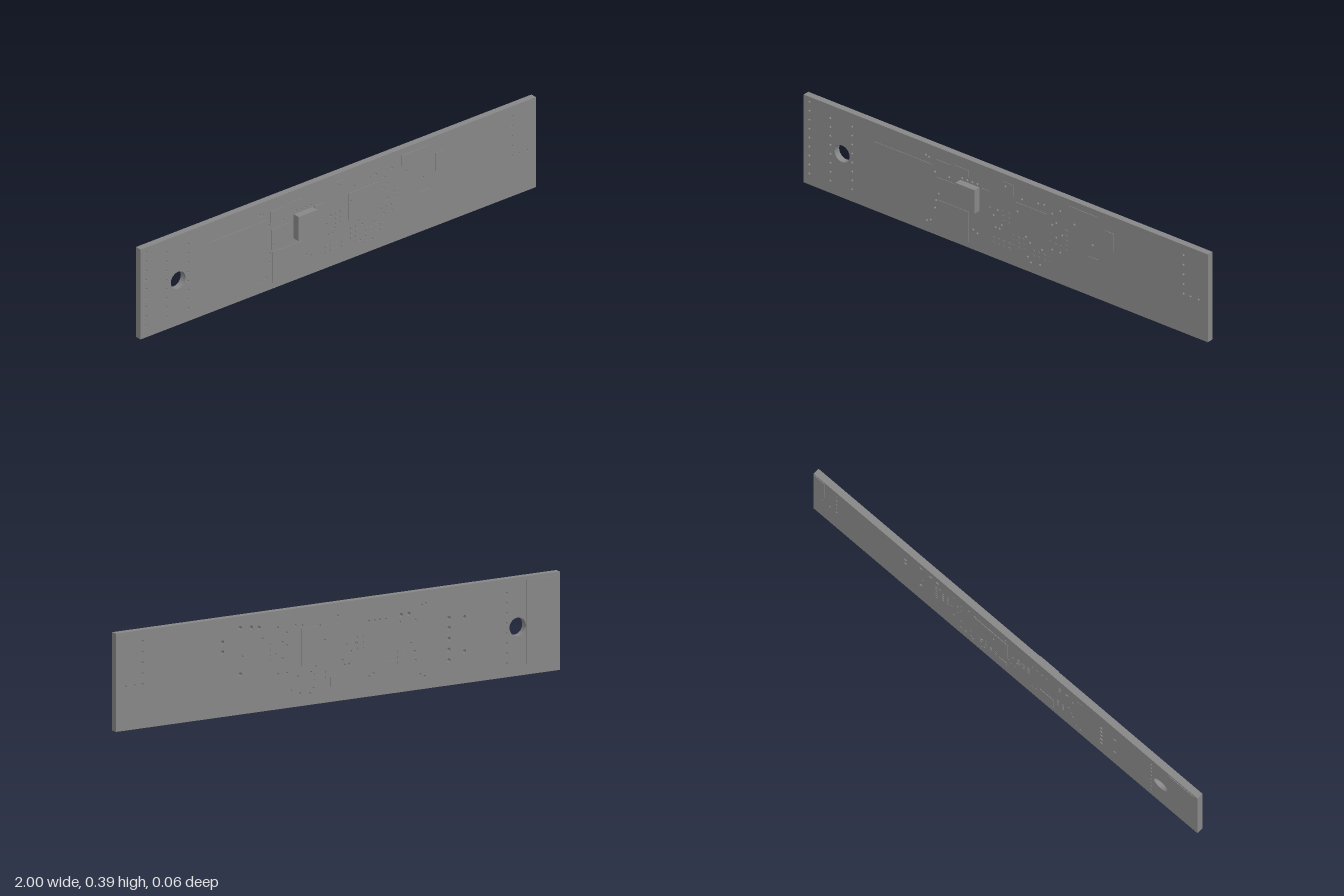
import * as THREE from 'three';

const H = 0.392, T = 0.028, LAYER = 0.002;
const material = new THREE.MeshStandardMaterial({ color: 0x878787, flatShading: true });

// Drilled vias, as x, y pairs
const vias = [
  [-0.395, 0.34], [-0.38, 0.335], [-0.35, 0.28], [-0.28, 0.28], [-0.33, 0.19], [-0.345, 0.155],
  [-0.35, 0.12], [-0.37, 0.06], [-0.39, 0.05], [-0.16, 0.09], [-0.14, 0.08], [-0.08, 0.22],
  [-0.06, 0.19], [-0.04, 0.22], [-0.05, 0.14], [-0.03, 0.14], [-0.02, 0.16], [0, 0.34],
  [0.06, 0.25], [0.08, 0.31], [0.1, 0.15], [0.12, 0.13], [0.11, 0.065], [0.125, 0.045],
  [0.17, 0.05], [0.18, 0.12], [0.16, 0.32], [0.19, 0.325], [0.23, 0.3], [0.23, 0.25],
  [0.25, 0.265], [0.25, 0.2], [0.27, 0.325], [0.28, 0.22], [0.34, 0.29], [0.43, 0.23],
  [0.23, 0.14], [0.27, 0.14],
];
for (let i = 0; i < 4; i++) vias.push([-0.215 + i * 0.025, 0.3]);
// Connector hole columns at both ends
for (let i = 0; i < 9; i++) vias.push([-0.972, 0.05 + i * 0.04]);
for (let i = 0; i < 8; i++) vias.push([-0.868, 0.055 + i * 0.04], [-0.76, 0.055 + i * 0.04]);
for (let i = 0; i < 5; i++) vias.push([0.88, 0.175 + i * 0.043]);
vias.push([0.915, 0.175], [0.955, 0.175]);

// Wider holes open at the back and covered by copper at the front
const blindHoles = [
  [0.52, 0.297], [0.52, 0.257], [0.44, 0.345], [0.39, 0.34], [0.355, 0.335], [0.44, 0.16],
  [-0.5, 0.268], [-0.5, 0.228], [-0.5, 0.185], [-0.5, 0.142], [-0.5, 0.1],
  [-0.57, 0.263], [-0.57, 0.127], [-0.285, 0.307], [-0.32, 0.307],
];

function circlePath(x, y, r) {
  return new THREE.Path().absarc(x, y, r, 0, Math.PI * 2, true);
}

// Rectangular sheet, pierced by every via lying wholly inside it
function sheet(name, [x0, y0, x1, y1], z, depth, { holes = [], drilled = true } = {}) {
  const shape = new THREE.Shape([[x0, y0], [x1, y0], [x1, y1], [x0, y1]].map((p) => new THREE.Vector2(...p)));
  const r = 0.0045;
  if (drilled) {
    for (const [x, y] of vias) {
      if (x - r > x0 && x + r < x1 && y - r > y0 && y + r < y1) shape.holes.push(circlePath(x, y, r));
    }
  }
  shape.holes.push(...holes);
  const geometry = new THREE.ExtrudeGeometry(shape, { depth, bevelEnabled: false, curveSegments: 12 });
  const mesh = new THREE.Mesh(geometry, material);
  mesh.position.z = z;
  mesh.name = name;
  return mesh;
}

function box(name, w, h, d, x, y, z) {
  const mesh = new THREE.Mesh(new THREE.BoxGeometry(w, h, d), material);
  mesh.position.set(x, y, z);
  mesh.name = name;
  return mesh;
}

export function createModel() {
  const model = new THREE.Group();
  model.name = 'circuitBoard';

  // Board with its mounting hole
  const holes = blindHoles.map(([x, y]) => circlePath(x, y, 0.008));
  holes.push(circlePath(-0.81, 0.195, 0.037));
  model.add(sheet('board', [-1, 0, 1, H], -T, T, { holes }));

  // Copper areas on the front
  const front = new THREE.Group();
  front.name = 'frontCopper';
  [
    [-0.65, 0.054, -0.362, 0.308], [-0.34, 0.17, -0.24, 0.26], [-0.335, 0.025, -0.182, 0.16],
    [-0.345, 0.29, -0.27, 0.338], [-0.25, 0.315, -0.185, 0.345], [-0.12, 0.22, -0.077, 0.29],
    [-0.01, 0.308, 0.038, 0.358], [0.05, 0.17, 0.205, 0.288], [0.317, 0.32, 0.46, 0.364],
    [0.49, 0.24, 0.535, 0.318], [0.41, 0.13, 0.46, 0.175],
  ].forEach((area) => front.add(sheet('copperArea', area, 0, LAYER)));
  model.add(front);

  // Copper areas on the back
  const back = new THREE.Group();
  back.name = 'backCopper';
  [
    [0.942, 0.225, 0.997, 0.383], [-0.25, 0.04, -0.18, 0.13], [-0.01, 0.16, 0.165, 0.31],
    [-0.005, 0.06, 0.033, 0.1],
  ].forEach((area) => back.add(sheet('copperArea', area, -T - LAYER, LAYER)));
  back.add(sheet('connectorBacking', [-0.98, 0.042, -0.85, 0.378], -T - LAYER, LAYER, { drilled: false }));
  model.add(back);

  // Grids of small component pads: x, y, columns, rows, side
  [
    [-0.06, 0.07, 4, 2, 1], [0.04, 0.09, 3, 3, 1], [0.14, 0.08, 4, 2, 1], [0.22, 0.17, 3, 1, 1],
    [0.3, 0.16, 1, 5, 1], [-0.01, 0.18, 2, 3, 1],
    [0.36, 0.17, 1, 6, -1], [0.3, 0.2, 2, 4, -1], [0.05, 0.1, 4, 2, -1], [-0.12, 0.2, 3, 3, -1],
    [-0.3, 0.12, 2, 3, -1], [0.18, 0.07, 3, 1, -1],
  ].forEach(([x, y, columns, rows, side]) => {
    const z = side > 0 ? LAYER / 2 : -T - LAYER / 2;
    for (let i = 0; i < columns; i++) {
      for (let j = 0; j < rows; j++) {
        model.add(box('componentPad', 0.009, 0.007, LAYER, x + i * 0.026, y + j * 0.022, z));
      }
    }
  });

  // Chip on the front
  model.add(box('chip', 0.095, 0.105, 0.03, -0.178, 0.2355, 0.015));
  return model;
}
